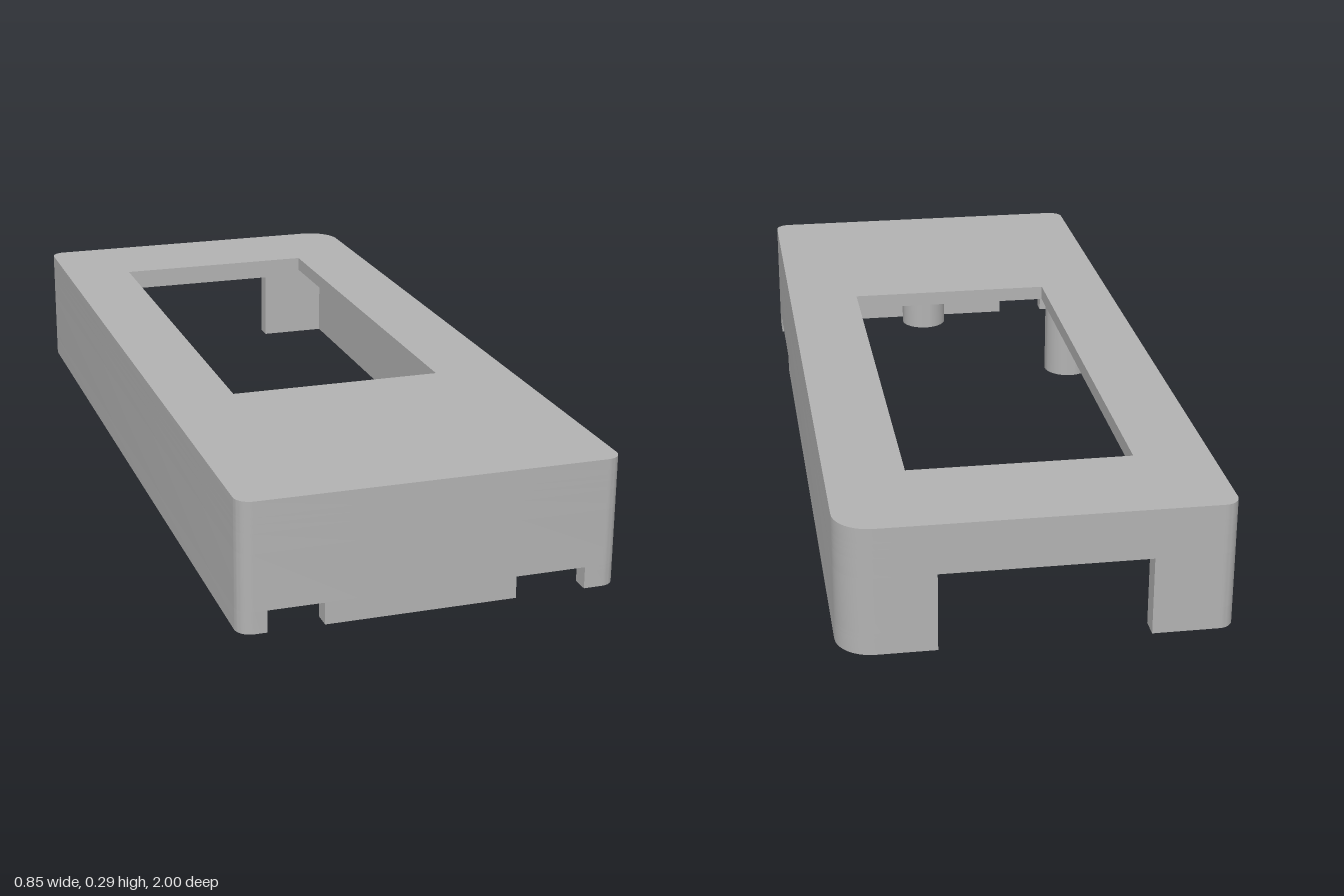
import * as THREE from 'three';
import { toCreasedNormals } from 'three/addons/utils/BufferGeometryUtils.js';

const W = 0.427, L = 1, T = 0.04, TB = 0.045;   // half width, half length, wall thicknesses
const R = 0.035, RB = 0.08;                     // small corners and the large back corner

// Outline points are [x, z, radius]; a radius rounds that corner
function outline(points) {
  const out = [];
  points.forEach(([x, z, r], i) => {
    const p = new THREE.Vector2(x, -z);
    if (!r) { out.push(p); return; }
    const toward = (q) => new THREE.Vector2(q[0], -q[1]).sub(p).setLength(r);
    const a = toward(points[(i + points.length - 1) % points.length]);
    const b = toward(points[(i + 1) % points.length]);
    const steps = 10;
    for (let k = 0; k <= steps; k++) {
      const t = (k / steps) * Math.PI / 2;
      out.push(p.clone()
        .addScaledVector(a, 1 - Math.sin(t))
        .addScaledVector(b, 1 - Math.cos(t)));
    }
  });
  return out;
}

const rect = (x0, x1, z0, z1) => [[x0, z0], [x1, z0], [x1, z1], [x0, z1]];

// Outer corners
const FL = [-W, L, R], FR = [W, L, R], BL = [-W, -L, R], BR = [W, -L, RB];
// Inner corners
const fl = [-W + T, L - T], fr = [W - T, L - T], bl = [-W + T, -L + TB], br = [W - T, -L + TB];

export function createModel() {
  const group = new THREE.Group();
  const grey = new THREE.MeshStandardMaterial({ color: 0xb3b3b3 });
  grey.name = 'grey plastic';

  // Horizontal slice of the case between two heights
  function slab(name, y0, y1, points, hole) {
    const shape = new THREE.Shape(outline(points));
    if (hole) shape.holes.push(new THREE.Path(outline(hole)));
    const geo = new THREE.ExtrudeGeometry(shape, { depth: y1 - y0, bevelEnabled: false });
    geo.rotateX(-Math.PI / 2);
    geo.translate(0, y0, 0);
    const mesh = new THREE.Mesh(toCreasedNormals(geo, 0.5), grey);
    mesh.name = name;
    group.add(mesh);
  }

  // Cut positions in the walls
  const backL = -0.245, backR = 0.215;
  const n1 = [-0.365, -0.24], n2 = [0.19, 0.35], side = [0.59, 0.89];
  const zi = L - T, zb = -L + TB, xi = W - T;

  // Bottom rim, broken by the front notches, the side notch and the back opening
  slab('leftRim', 0, 0.05,
    [[n1[0], L], FL, BL, [backL, -L], [backL, zb], bl, fl, [n1[0], zi]]);
  slab('frontRim', 0, 0.05, rect(n1[1], n2[0], zi, L));
  slab('frontRightRim', 0, 0.04,
    [[n2[1], L], FR, [W, side[1]], [xi, side[1]], fr, [n2[1], zi]]);
  slab('rightRim', 0, 0.04,
    [[W, side[0]], BR, [backR, -L], [backR, zb], br, [xi, side[0]]]);
  slab('rightUpperRim', 0.04, 0.05,
    [[n2[1], L], FR, BR, [backR, -L], [backR, zb], br, fr, [n2[1], zi]]);

  // Walls open at the back, then closed above the opening
  slab('walls', 0.05, 0.18,
    [[backL, -L], BL, FL, FR, BR, [backR, -L], [backR, zb], br, fr, fl, bl, [backL, zb]]);
  const full = [BL, FL, FR, BR];
  slab('upperWalls', 0.18, 0.225, full, [bl, fl, fr, br]);

  // Ceiling with a stepped screen recess, and the top face with its window
  slab('ceiling', 0.225, 0.245, full, rect(-0.3, 0.3, -0.89, 0.51));
  slab('recessStep', 0.245, 0.26, full, rect(-0.285, 0.285, -0.87, 0.485));
  slab('topPlate', 0.26, 0.295, full, rect(-0.255, 0.25, -0.735, 0.36));

  // Screw posts with countersunk holes
  const profile = [
    [0, 0.12], [0.034, 0.12], [0.034, 0.02], [0.048, 0.02], [0.048, 0.001],
    [0.0625, 0.001], [0.0625, 0.23],
  ].map(([r, y]) => new THREE.Vector2(r, y));
  const postGeo = toCreasedNormals(new THREE.LatheGeometry(profile, 40), 0.5);
  [['leftPost', 0.355, 0.49], ['rightPost', -0.355, 0.49], ['frontPost', 0, 0.918]]
    .forEach(([name, x, z]) => {
      const post = new THREE.Mesh(postGeo, grey);
      post.name = name;
      post.position.set(x, 0, z);
      group.add(post);
    });

  return group;
}
